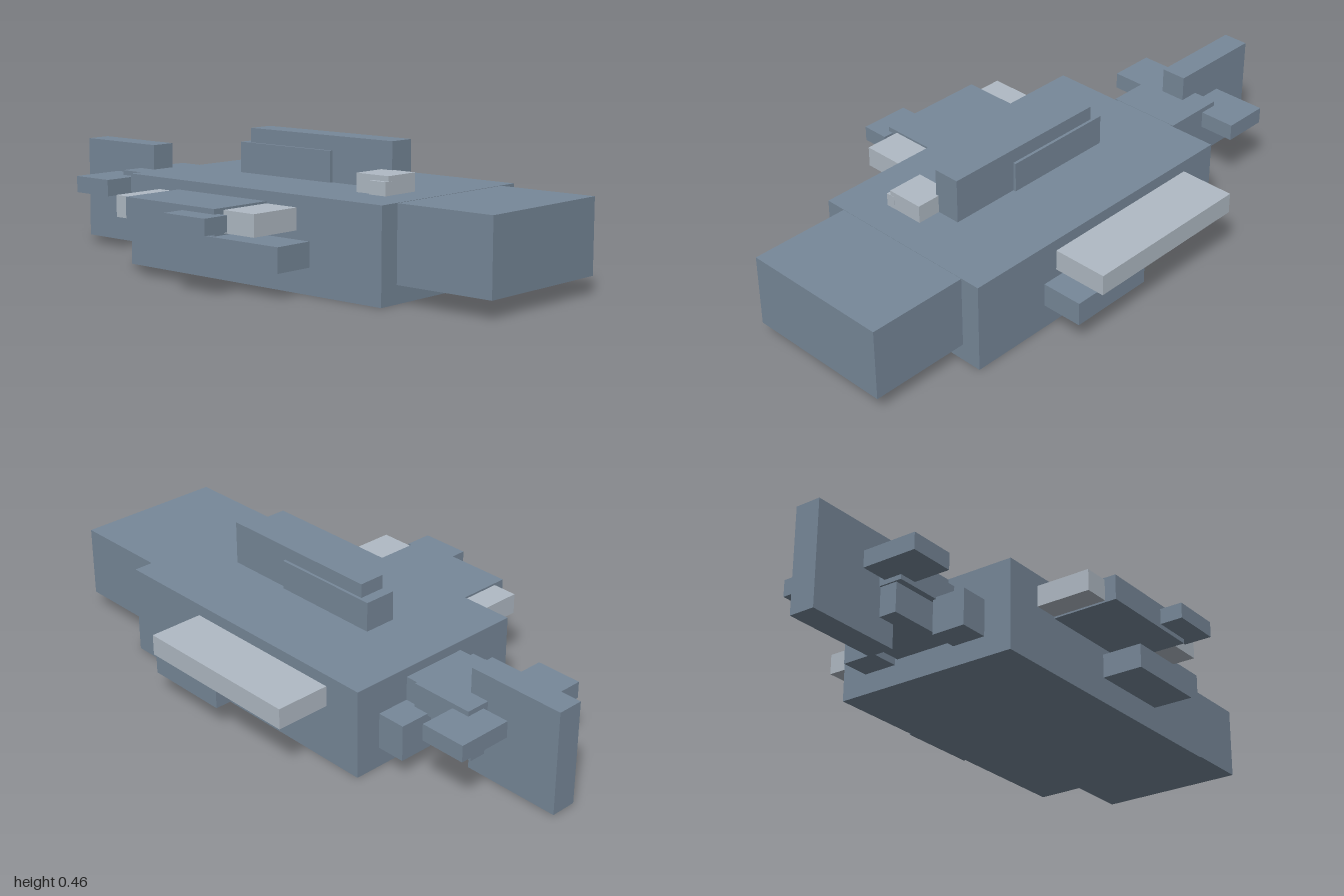
import * as THREE from 'three';

export function createModel() {
  const model = new THREE.Group();
  const slate = new THREE.MeshStandardMaterial({ color: 0x778899 });
  slate.name = 'slate grey';
  const pale = new THREE.MeshStandardMaterial({ color: 0xb0bac4 });
  pale.name = 'pale grey';

  // Box from its [min, max] range on each axis
  function block(name, x, y, z, material = slate) {
    const size = [x, y, z].map(([a, b]) => b - a);
    const mesh = new THREE.Mesh(new THREE.BoxGeometry(...size), material);
    mesh.position.set(...[x, y, z].map(([a, b]) => (a + b) / 2));
    mesh.name = name;
    model.add(mesh);
  }

  // Body and head
  block('body', [-0.45, 0.648], [0, 0.31], [-0.395, 0.276]);
  block('head', [0.64, 1], [0.06, 0.309], [-0.325, 0.203]);

  // Ridge on the back
  block('backFin', [-0.165, 0.45], [0.3, 0.463], [-0.108, -0.014]);
  block('backFinBase', [-0.203, 0.2], [0.3, 0.414], [-0.118, -0.003]);

  // Pale knob near the head
  block('knob', [0.406, 0.534], [0.3, 0.371], [-0.024, 0.107], pale);
  block('knobTip', [0.47, 0.535], [0.3, 0.354], [0.09, 0.122], pale);

  // Side fins, upper pale pair and lower pair
  block('farSideFin', [-0.31, 0.307], [0.198, 0.27], [-0.588, -0.38], pale);
  block('nearSideFin', [-0.31, 0.307], [0.198, 0.27], [0.26, 0.468], pale);
  block('farLowerFin', [0.053, 0.36], [0.087, 0.169], [-0.54, -0.38]);
  block('nearLowerFin', [0.053, 0.36], [0.087, 0.169], [0.26, 0.42]);

  // Cover over the near fin and its tip
  block('finCover', [-0.22, 0.178], [0.192, 0.277], [0.26, 0.508]);
  block('finCoverTip', [0.038, 0.215], [0.207, 0.26], [0.49, 0.587]);

  // Tail root
  block('tailCollar', [-0.5, -0.44], [0.195, 0.278], [-0.185, 0.055]);
  block('tailStem', [-0.72, -0.495], [0.188, 0.279], [-0.195, 0.067]);
  block('tailUnderside', [-0.714, -0.44], [0.087, 0.19], [-0.17, 0.045]);
  block('farRearFin', [-0.552, -0.44], [0.07, 0.195], [-0.303, -0.18]);
  block('nearRearFin', [-0.552, -0.44], [0.07, 0.195], [0.055, 0.176]);

  // Tail blade and its side fins
  block('tailBlade', [-1, -0.65], [0.005, 0.367], [-0.109, -0.018]);
  block('farTailFin', [-0.818, -0.655], [0.204, 0.262], [-0.323, -0.128]);
  block('nearTailFin', [-0.818, -0.655], [0.204, 0.262], [0.003, 0.2]);

  return model;
}
